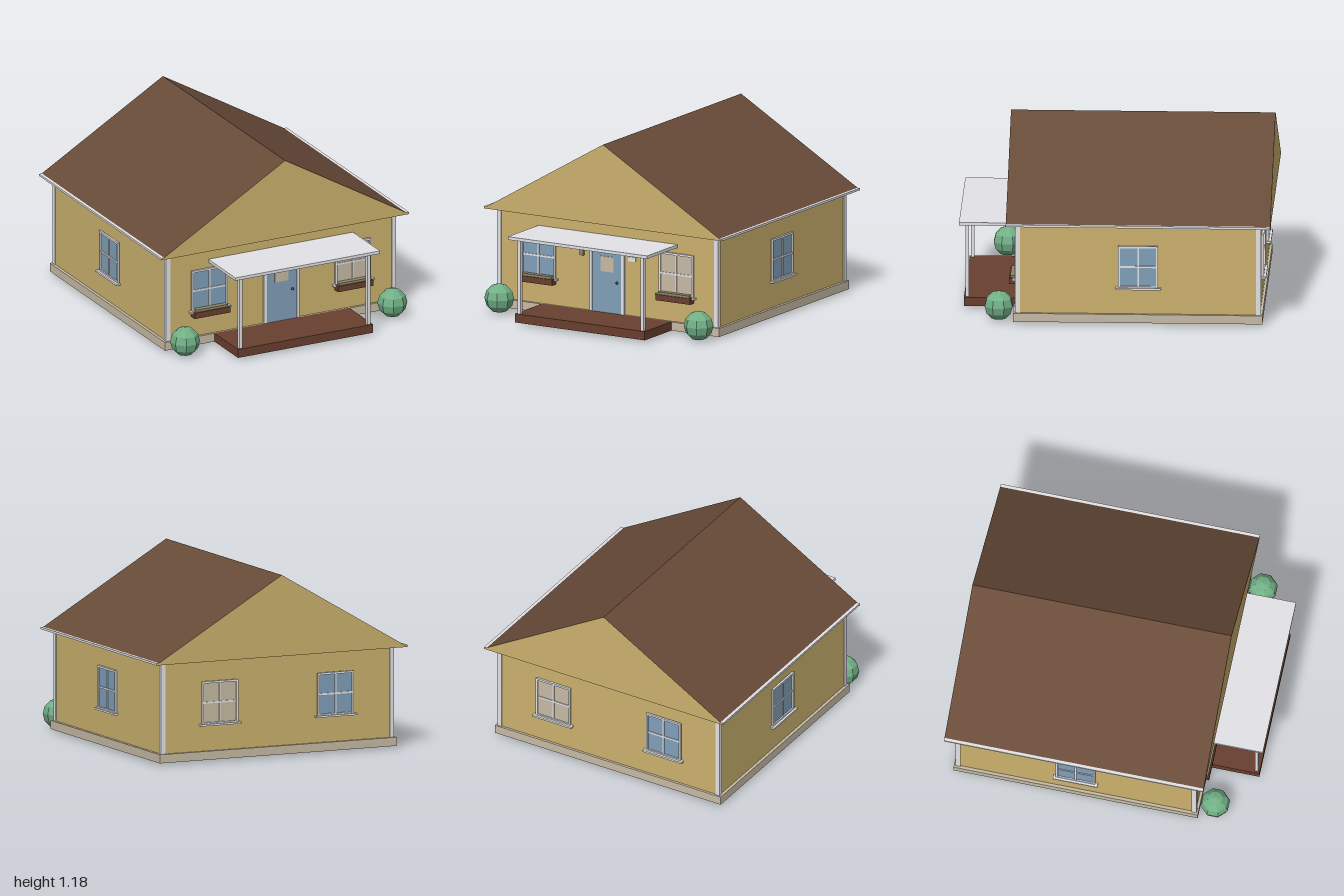
import * as THREE from 'three';

const mat = (name, color) => {
  const m = new THREE.MeshStandardMaterial({ color });
  m.name = name;
  return m;
};

export function createModel() {
  const house = new THREE.Group();
  house.name = 'house';
  const wall = mat('ochre siding', 0xcbb16d);
  const white = mat('white trim', 0xe4e4e8);
  const brown = mat('roof brown', 0x684b39);
  const wood = mat('deck wood', 0x683f2e);
  const blue = mat('blue glass and door', 0x809fb8);
  const stone = mat('pale stone', 0xc6baa4);
  const green = mat('bush green', 0x72b087);
  const bronze = mat('bronze', 0x8f8566);
  const dark = mat('dark metal', 0x4a4f55);

  // Box given by its minimum and maximum corners
  function box(name, material, [x0, y0, z0], [x1, y1, z1], parent = house) {
    const mesh = new THREE.Mesh(new THREE.BoxGeometry(x1 - x0, y1 - y0, z1 - z0), material);
    mesh.position.set((x0 + x1) / 2, (y0 + y1) / 2, (z0 + z1) / 2);
    mesh.name = name;
    parent.add(mesh);
    return mesh;
  }

  // Foundation, walls and corner trim
  const midZ = -0.153;
  box('foundation', stone, [-0.84, 0.014, -0.948], [0.84, 0.07, 0.643]);
  box('walls', wall, [-0.82, 0.07, -0.932], [0.82, 0.66, 0.626]);
  for (const sx of [-1, 1]) {
    for (const sz of [-1, 1]) {
      const x = sx * 0.811, z = midZ + sz * 0.769;
      box('cornerTrim', white, [x - 0.015, 0.07, z - 0.016], [x + 0.015, 0.658, z + 0.016]);
    }
  }

  // Eave slab with siding-coloured ends, and the gabled roof above it
  box('eaves', [white, white, white, white, wall, wall], [-0.89, 0.656, -1], [0.89, 0.67, 0.688]);
  const gable = new THREE.Shape([
    new THREE.Vector2(-0.87, 0.67),
    new THREE.Vector2(0.87, 0.67),
    new THREE.Vector2(0, 1.18),
  ]);
  const roof = new THREE.Mesh(
    new THREE.ExtrudeGeometry(gable, { depth: 1.688, bevelEnabled: false }), [wall, brown]);
  roof.position.z = -1;
  roof.name = 'gableRoof';
  house.add(roof);

  // Window built facing +z around its own centre, then turned onto a wall
  function addWindow(name, glass, x, z, angle) {
    const g = new THREE.Group();
    g.name = name;
    const w = 0.128, h = 0.139, f = 0.013;
    box('pane', glass, [-w, -h, -0.004], [w, h, 0.005], g);
    for (const s of [-1, 1]) {
      const cx = s * (w - f / 2), cy = s * (h - f / 2);
      box('frameSide', white, [cx - f / 2, -h, 0], [cx + f / 2, h, 0.014], g);
      box('frameRail', white, [-w + f, cy - f / 2, 0], [w - f, cy + f / 2, 0.014], g);
    }
    box('uprightBar', white, [-0.005, -h + f, 0], [0.005, h - f, 0.01], g);
    box('crossBar', white, [-w + f, -0.005, 0], [w - f, 0.007, 0.01], g);
    box('sill', white, [-0.145, -h - 0.008, 0], [0.145, -h + 0.004, 0.029], g);
    g.position.set(x, 0.381, z);
    g.rotation.y = angle;
    house.add(g);
  }
  for (const s of [-1, 1]) {
    const glass = s > 0 ? stone : blue;
    addWindow('frontWindow', glass, s * 0.515, 0.626, 0);
    addWindow('backWindow', glass, s * 0.41, -0.932, Math.PI);
    addWindow('sideWindow', blue, s * 0.82, -0.155, s * Math.PI / 2);

    // Planter under each front window
    const x = s * 0.515;
    box('planter', wood, [x - 0.128, 0.207, 0.626], [x + 0.128, 0.246, 0.676]);
    box('planterFill', bronze, [x - 0.115, 0.24, 0.632], [x + 0.115, 0.262, 0.668]);
  }

  // Front door
  box('doorFrameLeft', white, [0.108, 0.07, 0.62], [0.128, 0.52, 0.642]);
  box('doorFrameRight', white, [-0.128, 0.07, 0.62], [-0.108, 0.52, 0.642]);
  box('doorFrameTop', white, [-0.108, 0.497, 0.62], [0.108, 0.52, 0.642]);
  box('door', blue, [-0.108, 0.07, 0.62], [0.108, 0.497, 0.636]);
  box('doorPane', stone, [-0.048, 0.338, 0.635], [0.048, 0.438, 0.64]);
  const knob = new THREE.Mesh(new THREE.SphereGeometry(0.009, 10, 8), dark);
  knob.position.set(0.077, 0.275, 0.643);
  knob.name = 'doorKnob';
  house.add(knob);

  // Wall lamp and blank plaque beside the door
  box('wallLamp', bronze, [-0.2, 0.425, 0.624], [-0.175, 0.47, 0.645]);
  box('plaque', white, [0.155, 0.425, 0.624], [0.21, 0.455, 0.633]);

  // Porch: step, deck, posts and flat canopy
  box('step', stone, [-0.19, 0.012, 0.6], [0.19, 0.05, 0.8]);
  box('deck', wood, [-0.485, 0.014, 0.64], [0.485, 0.071, 0.97]);
  for (const s of [-1, 1]) {
    const x = s * 0.46;
    box('porchPost', white, [x - 0.011, 0.07, 0.938], [x + 0.011, 0.56, 0.96]);
  }
  box('porchCanopy', white, [-0.52, 0.557, 0.626], [0.52, 0.577, 1]);

  // Faceted bushes at the front corners
  const bushGeometry = new THREE.SphereGeometry(0.096, 8, 6).toNonIndexed();
  bushGeometry.computeVertexNormals();
  for (const s of [-1, 1]) {
    const bush = new THREE.Mesh(bushGeometry, green);
    bush.position.set(s * 0.745, 0.096, 0.737);
    bush.rotation.y = Math.PI / 8;
    bush.name = 'bush';
    house.add(bush);
  }
  return house;
}
